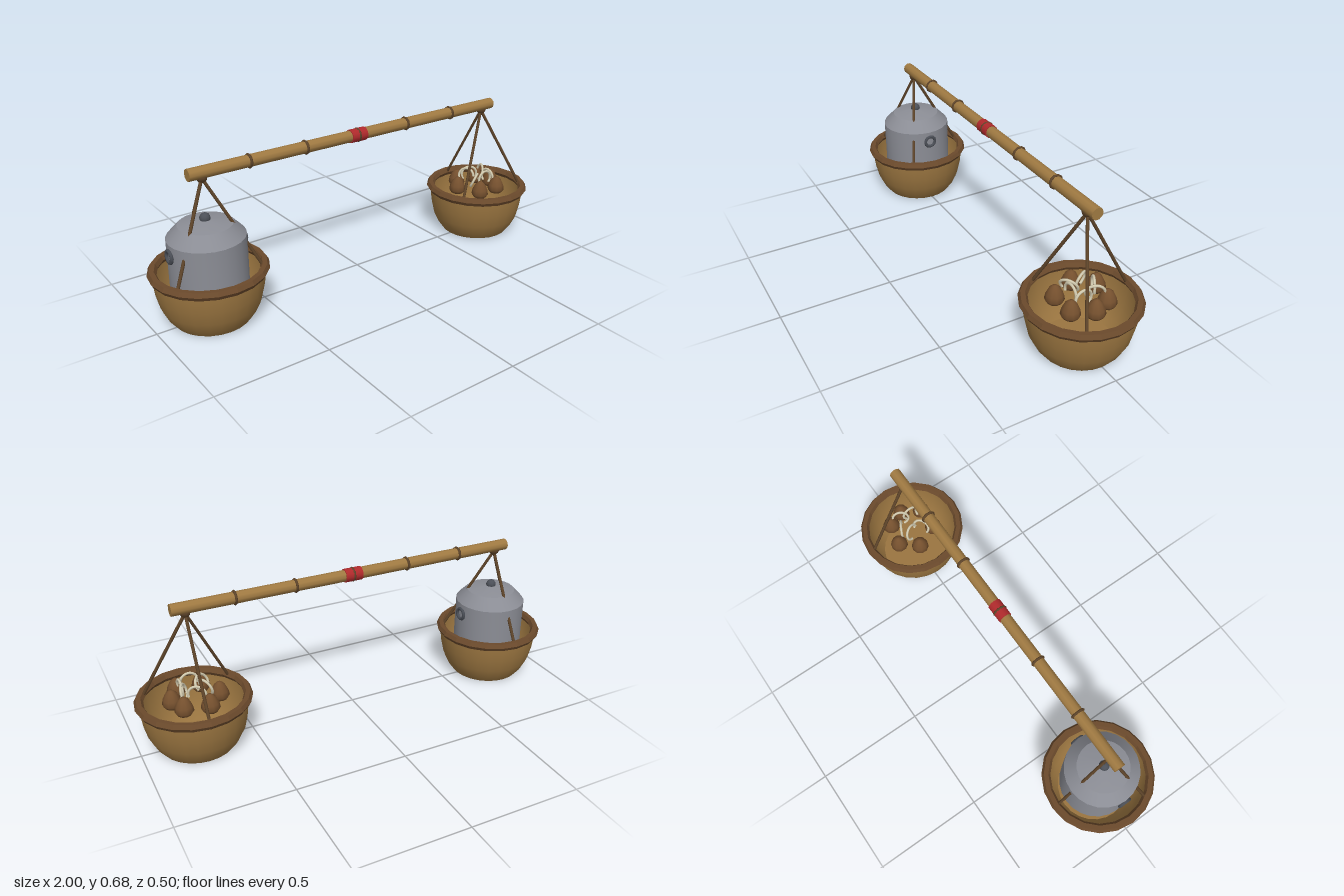
import * as THREE from 'three';
import { toCreasedNormals } from 'three/addons/utils/BufferGeometryUtils.js';

const mat = (name, color, opts = {}) => {
  const m = new THREE.MeshStandardMaterial({ color, ...opts });
  m.name = name;
  return m;
};

const V = (x, y, z) => new THREE.Vector3(x, y, z);
const lathe = (pts, seg) => new THREE.LatheGeometry(pts.map(([r, y]) => new THREE.Vector2(r, y)), seg);

export function createModel() {
  const bamboo = mat('bamboo', 0xa07a42);
  const basketWood = mat('basketWood', 0x9a7540, { side: THREE.DoubleSide });
  const rimWood = mat('rimWood', 0x6b4a2c, { flatShading: true });
  const rope = mat('rope', 0x5f452a);
  const red = mat('redCloth', 0xb02a2c);
  const metal = mat('metal', 0x8b8d95);
  const darkMetal = mat('darkMetal', 0x4c5058);
  const shell = mat('brownShell', 0x75502e);
  const cream = mat('cream', 0xd8d0b4);

  const model = new THREE.Group();
  model.name = 'shoulderPole';

  const add = (parent, name, geo, material, x = 0, y = 0, z = 0) => {
    const m = new THREE.Mesh(geo, material);
    m.name = name;
    m.position.set(x, y, z);
    parent.add(m);
    return m;
  };

  // Straight rod between two points
  const rod = (parent, name, a, b, r, material) => {
    const d = b.clone().sub(a);
    const m = add(parent, name, new THREE.CylinderGeometry(r, r, d.length(), 6), material);
    m.position.copy(a).add(b).multiplyScalar(0.5);
    m.quaternion.setFromUnitVectors(V(0, 1, 0), d.normalize());
  };

  // Pole with bamboo nodes and a red grip
  const poleY = 0.645;
  const pole = add(model, 'pole', new THREE.CylinderGeometry(0.026, 0.026, 1.62, 10), bamboo, 0, poleY, 0);
  pole.rotation.z = Math.PI / 2;
  for (const x of [-0.54, -0.27, 0, 0.27, 0.54]) {
    const node = add(model, 'poleNode', new THREE.TorusGeometry(0.027, 0.006, 6, 10), rope, x, poleY, 0);
    node.rotation.y = Math.PI / 2;
  }
  const grip = add(model, 'redGrip', new THREE.CylinderGeometry(0.03, 0.03, 0.08, 12), red, 0, poleY, 0);
  grip.rotation.z = Math.PI / 2;

  // Open basket with rim, three ropes and a knot
  const makeBasket = (name, x) => {
    const g = new THREE.Group();
    g.name = name;
    g.position.x = x;
    model.add(g);
    add(g, 'bowl', lathe([[0.163, 0], [0.187, 0.032], [0.21, 0.08], [0.224, 0.14], [0.23, 0.19], [0.231, 0.225]], 24), basketWood);
    const base = add(g, 'bowlBase', new THREE.CircleGeometry(0.163, 24), basketWood);
    base.rotation.x = Math.PI / 2;
    const rim = add(g, 'rim', new THREE.TorusGeometry(0.23, 0.02, 6, 20), rimWood, 0, 0.225, 0);
    rim.rotation.x = Math.PI / 2;
    for (let i = 0; i < 3; i++) {
      const a = Math.PI / 6 + i * Math.PI * 2 / 3;
      rod(g, 'hangingRope', V(0.22 * Math.cos(a), 0.225, 0.22 * Math.sin(a)), V(0, 0.62, 0), 0.007, rope);
    }
    add(g, 'knot', new THREE.SphereGeometry(0.024, 8, 6), rope, 0, 0.626, 0);
    return g;
  };

  // Pot in the right basket
  const potBasket = makeBasket('potBasket', -0.75);
  add(potBasket, 'pot', toCreasedNormals(
    lathe([[0, 0.1], [0.163, 0.1], [0.163, 0.374], [0.15, 0.388], [0.113, 0.427], [0.03, 0.443], [0, 0.444]], 24),
    0.5), metal);
  add(potBasket, 'lidKnob', new THREE.SphereGeometry(0.023, 10, 8), darkMetal, 0, 0.449, 0);
  for (const s of [-1, 1]) {
    const ring = add(potBasket, 'potHandle', new THREE.TorusGeometry(0.026, 0.008, 6, 12), darkMetal, s * 0.165, 0.325, 0);
    ring.rotation.y = Math.PI / 2;
  }

  // Food in the left basket: brown domes and pale curls
  const foodBasket = makeBasket('foodBasket', 0.75);
  const dome = lathe([[0, 0.2], [0.03, 0.204], [0.041, 0.22], [0.037, 0.243], [0.025, 0.268], [0.011, 0.282], [0, 0.285]], 10);
  for (const [x, z] of [[0.095, 0], [0.052, 0.087], [-0.058, 0.087], [-0.108, -0.022], [-0.042, -0.1], [0.064, -0.077]]) {
    add(foodBasket, 'brownDome', dome, shell, x, 0, z);
  }
  const curl = new THREE.TorusGeometry(0.038, 0.006, 5, 12, Math.PI * 1.35);
  for (let i = 0; i < 6; i++) {
    const a = i * Math.PI / 3 + 0.5;
    const c = add(foodBasket, 'paleCurl', curl, cream, 0.055 * Math.cos(a), 0.268 + 0.008 * (i % 2), 0.055 * Math.sin(a));
    c.rotation.set(0.5 * (i % 3 - 1), a + 1.1 + 0.5 * (i % 2), -0.35);
  }

  return model;
}
